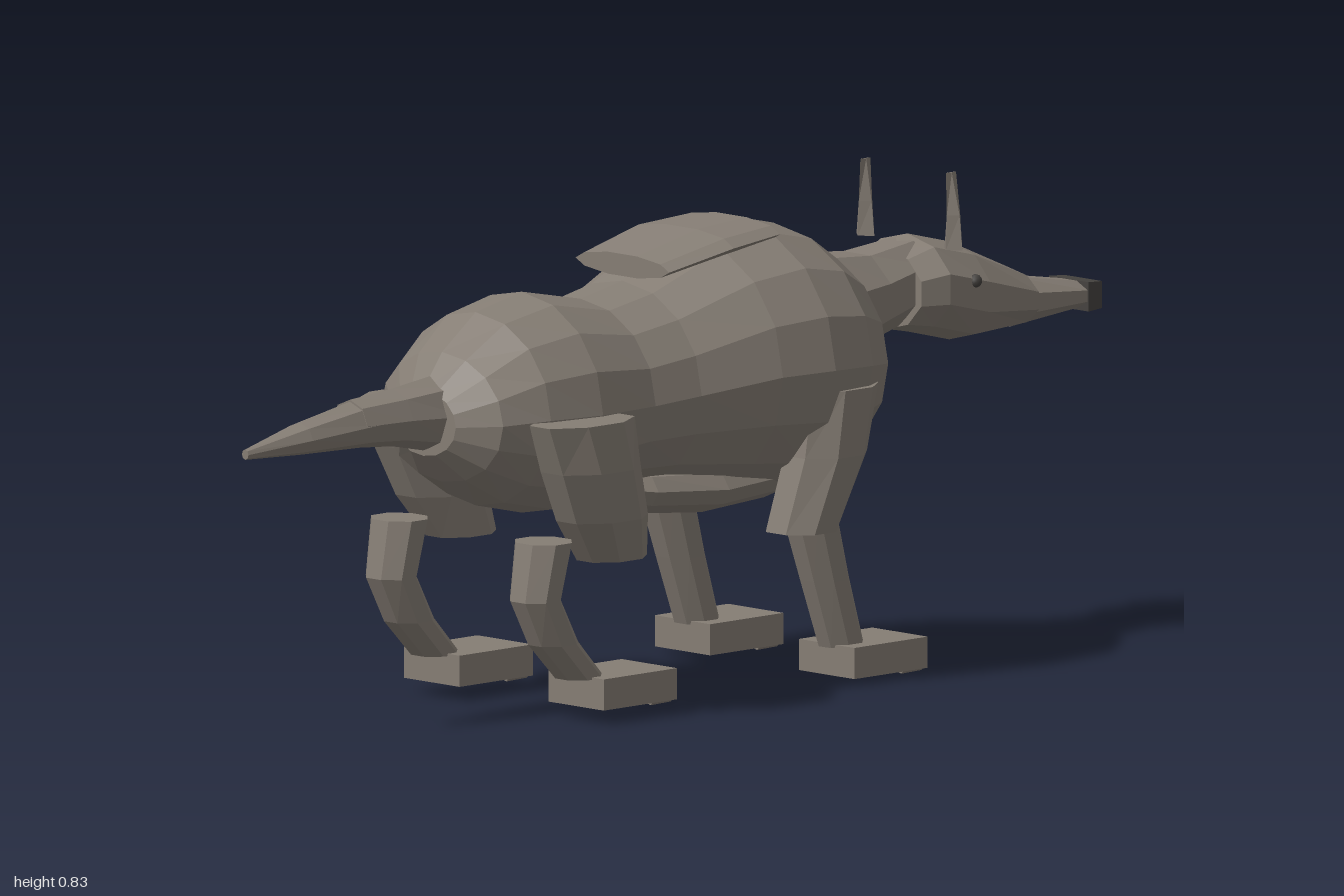
import * as THREE from 'three';

// Faceted, capped loft. Rings are [along, cx, c2, rx, r2];
// along 'z': ellipses in xy. along 'y': ellipses in xz. Rings ascend.
function loft(rings, sides, axis = 'z', phase = 0) {
  const place = (x, b, t) => (axis === 'z' ? [x, b, t] : [x, t, -b]);
  const point = (r, j) => {
    const a = phase + (j / sides) * Math.PI * 2;
    const c2 = axis === 'z' ? r[2] : -r[2];
    return place(r[1] + Math.cos(a) * r[3], c2 + Math.sin(a) * r[4], r[0]);
  };
  const centre = (r) => place(r[1], axis === 'z' ? r[2] : -r[2], r[0]);
  const pos = [];
  const tri = (...pts) => pts.forEach((p) => pos.push(...p));
  const first = rings[0];
  const last = rings[rings.length - 1];
  for (let j = 0; j < sides; j++) {
    for (let k = 0; k < rings.length - 1; k++) {
      const a = point(rings[k], j), b = point(rings[k], j + 1);
      const c = point(rings[k + 1], j), d = point(rings[k + 1], j + 1);
      tri(a, b, d);
      tri(a, d, c);
    }
    tri(centre(first), point(first, j + 1), point(first, j));
    tri(centre(last), point(last, j), point(last, j + 1));
  }
  const g = new THREE.BufferGeometry();
  g.setAttribute('position', new THREE.Float32BufferAttribute(pos, 3));
  g.computeVertexNormals();
  return g;
}

export function createModel() {
  const group = new THREE.Group();
  const fur = new THREE.MeshStandardMaterial({ color: 0x857d74 });
  fur.name = 'grey brown fur';
  const dark = new THREE.MeshStandardMaterial({ color: 0x45423f });
  dark.name = 'dark nose';
  const add = (name, geometry, material = fur, parent = group) => {
    const mesh = new THREE.Mesh(geometry, material);
    mesh.name = name;
    parent.add(mesh);
    return mesh;
  };

  // Trunk, chest to rump: [z, top, bottom, half width]
  const trunk = [
    [-0.43, 0.57, 0.47, 0.06], [-0.39, 0.67, 0.41, 0.14], [-0.34, 0.72, 0.36, 0.2],
    [-0.26, 0.77, 0.33, 0.245], [-0.16, 0.793, 0.315, 0.257], [-0.05, 0.775, 0.33, 0.24],
    [0.1, 0.71, 0.355, 0.195], [0.2, 0.69, 0.36, 0.185], [0.34, 0.718, 0.335, 0.2],
    [0.45, 0.695, 0.36, 0.185], [0.53, 0.635, 0.41, 0.15], [0.575, 0.575, 0.46, 0.08],
  ].map(([z, t, b, w]) => [z, 0, (t + b) / 2, w, (t - b) / 2]);
  add('trunk', loft(trunk, 16));

  // Belly bulge and back plate
  add('belly', loft([
    [-0.27, 0, 0.37, 0.06, 0.03], [-0.18, 0, 0.355, 0.12, 0.052], [-0.02, 0, 0.35, 0.14, 0.054],
    [0.13, 0, 0.36, 0.12, 0.05], [0.25, 0, 0.375, 0.06, 0.03],
  ], 12));
  add('backPlate', loft([
    [-0.16, 0, 0.775, 0.12, 0.021], [-0.04, 0, 0.765, 0.13, 0.024], [0.1, 0, 0.737, 0.115, 0.02],
  ], 10));

  // Tail in two tapering lengths
  add('tailBase', loft([[0.53, 0, 0.53, 0.062, 0.07], [0.65, 0, 0.535, 0.053, 0.05],
    [0.75, 0, 0.535, 0.043, 0.042]], 8));
  add('tailTip', loft([[0.72, 0, 0.535, 0.046, 0.044], [0.87, 0, 0.523, 0.033, 0.028],
    [1, 0, 0.51, 0.008, 0.009]], 8));

  // Neck, head and muzzle
  const edge = Math.PI / 8;
  add('neck', loft([[-0.57, 0, 0.64, 0.07, 0.072], [-0.46, 0, 0.62, 0.09, 0.08],
    [-0.36, 0, 0.61, 0.12, 0.1]], 8, 'z', edge));
  add('head', loft([[-0.82, 0, 0.58, 0.08, 0.05], [-0.68, 0, 0.605, 0.106, 0.085],
    [-0.58, 0, 0.63, 0.112, 0.085], [-0.53, 0, 0.625, 0.09, 0.07]], 10, 'z', Math.PI / 10));
  add('muzzle', loft([[-0.97, 0, 0.568, 0.05, 0.025], [-0.8, 0, 0.575, 0.068, 0.047]], 8, 'z', edge));
  add('nose', loft([[-1, 0, 0.567, 0.065, 0.033], [-0.965, 0, 0.567, 0.069, 0.036]], 4, 'z', Math.PI / 4), dark);

  for (const s of [1, -1]) {
    const side = s > 0 ? 'left' : 'right';
    add(`${side}Ear`, loft([[0.7, s * 0.108, -0.585, 0.022, 0.018], [0.76, s * 0.108, -0.585, 0.015, 0.016],
      [0.833, s * 0.105, -0.582, 0.002, 0.012]], 4, 'y'));
    add(`${side}Eye`, new THREE.IcosahedronGeometry(0.012, 1), dark).position.set(s * 0.1, 0.637, -0.645);

    // Upper and lower legs, left unjoined at the hind knee
    const x = s * 0.177;
    add(`${side}Thigh`, loft([[0.275, s * 0.185, 0.305, 0.052, 0.07], [0.35, s * 0.197, 0.34, 0.066, 0.092],
      [0.44, s * 0.205, 0.375, 0.072, 0.1], [0.525, s * 0.21, 0.4, 0.064, 0.11]], 8, 'y', edge));
    add(`${side}Shank`, loft([[0.075, x, 0.375, 0.042, 0.045], [0.14, x, 0.437, 0.043, 0.047],
      [0.22, x, 0.48, 0.048, 0.045], [0.32, x, 0.46, 0.054, 0.05]], 8, 'y', edge));
    add(`${side}UpperForeleg`, loft([[0.27, x, -0.155, 0.064, 0.066], [0.4, s * 0.19, -0.2, 0.068, 0.08],
      [0.515, s * 0.195, -0.22, 0.062, 0.085]], 8, 'y', edge));
    add(`${side}LowerForeleg`, loft([[0.06, x, -0.25, 0.04, 0.042], [0.18, x, -0.21, 0.045, 0.045],
      [0.31, x, -0.17, 0.052, 0.05]], 8, 'y', edge));

    // Paws with two small claws each
    for (const [name, y, z] of [['Hind', 0.052, 0.295], ['Fore', 0.039, -0.303]]) {
      const paw = new THREE.Group();
      paw.name = `${side}${name}Paw`;
      paw.position.set(x, y, z);
      group.add(paw);
      add('pad', new THREE.BoxGeometry(0.136, 0.054, 0.175), fur, paw);
      for (const cx of [-0.028, 0.028]) {
        const claw = add('claw', loft([[-0.11, 0, -0.005, 0.004, 0.003], [-0.06, 0, 0, 0.011, 0.009]], 5), fur, paw);
        claw.position.set(cx, -0.03, 0);
      }
    }
  }
  return group;
}
